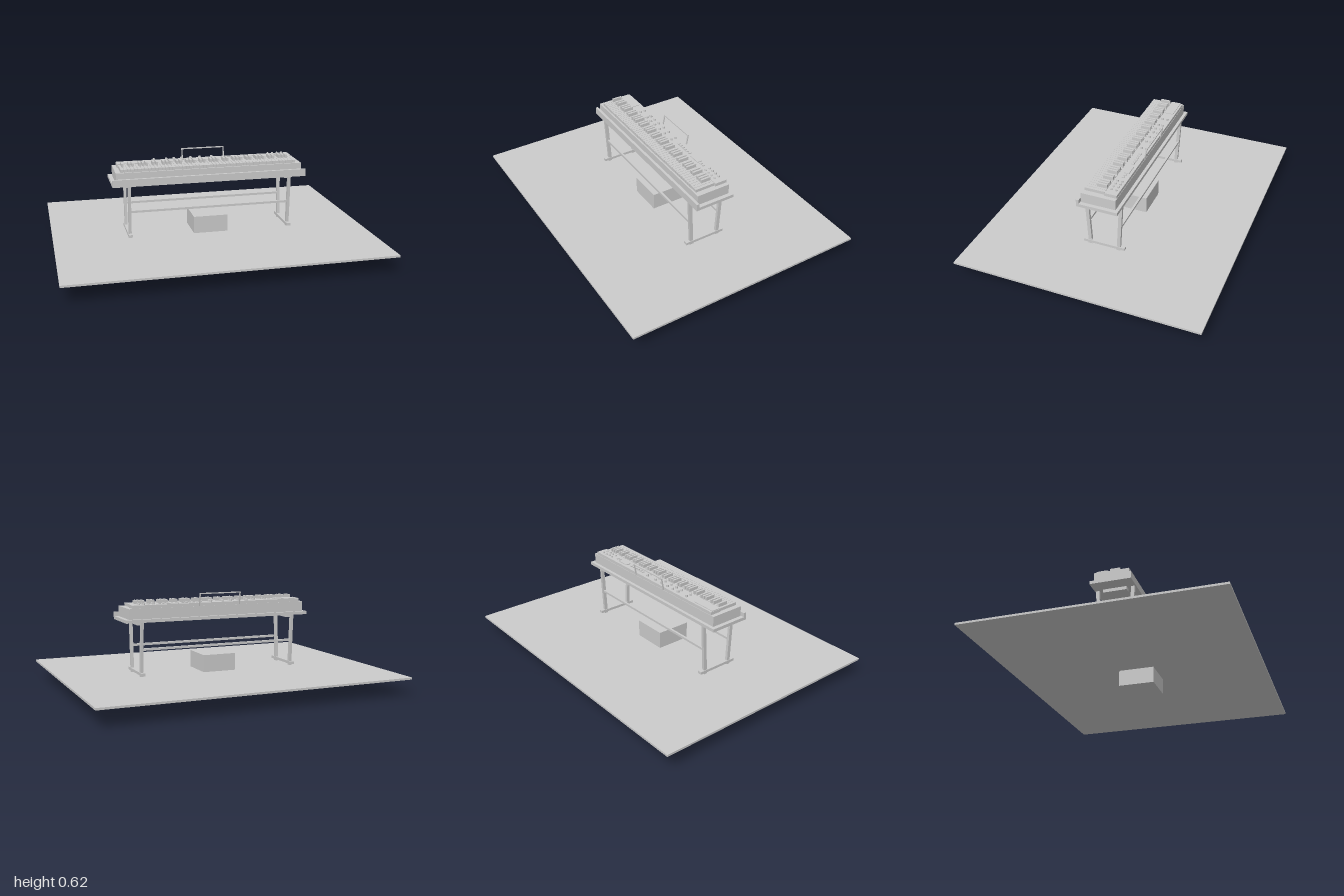
import * as THREE from 'three';

const material = new THREE.MeshStandardMaterial({ color: 0xcccccc });

function add(parent, name, geometry, x, y, z) {
  const mesh = new THREE.Mesh(geometry, material);
  mesh.name = name;
  mesh.position.set(x, y, z);
  parent.add(mesh);
  return mesh;
}

// Box given by its limits on each axis
function block(parent, name, [x0, x1], [y0, y1], [z0, z1]) {
  return add(parent, name, new THREE.BoxGeometry(x1 - x0, y1 - y0, z1 - z0),
    (x0 + x1) / 2, (y0 + y1) / 2, (z0 + z1) / 2);
}

// Square bar running between two points
function bar(parent, name, from, to, width, depth = width) {
  const a = new THREE.Vector3(...from), b = new THREE.Vector3(...to);
  const mesh = add(parent, name, new THREE.BoxGeometry(width, a.distanceTo(b), depth), 0, 0, 0);
  mesh.position.copy(a).add(b).multiplyScalar(0.5);
  mesh.quaternion.setFromUnitVectors(new THREE.Vector3(0, 1, 0), b.sub(a).normalize());
  return mesh;
}

function group(parent, name) {
  const g = new THREE.Group();
  g.name = name;
  parent.add(g);
  return g;
}

function buildStand(root) {
  const stand = group(root, 'stand');
  for (const side of [-1, 1]) {
    const x = side * 0.52;
    block(stand, 'foot', [x - 0.013, x + 0.013], [0.125, 0.142], [-0.135, 0.135]);
    block(stand, 'topBracket', [x - 0.018, x + 0.018], [0.434, 0.456], [-0.075, 0.075]);
    for (const end of [-1, 1]) {
      bar(stand, 'leg', [x, 0.135, end * 0.094], [x, 0.458, end * 0.112], 0.018, 0.022);
      block(stand, 'footPad', [x - 0.009, x + 0.009], [0.114, 0.126],
        [end * 0.094 - 0.012, end * 0.094 + 0.012]);
    }
  }
  for (const end of [-1, 1]) {
    bar(stand, 'crossRail', [-0.52, 0.286, end * 0.103], [0.52, 0.286, end * 0.103], 0.014);
  }
  block(stand, 'shelf', [-0.625, 0.625], [0.455, 0.475], [-0.13, 0.125]);
  block(stand, 'shelfFrontLip', [-0.625, 0.625], [0.455, 0.502], [0.114, 0.131]);
}

function buildKeys(piano) {
  const keys = group(piano, 'keys');
  const count = 52, left = -0.57, pitch = 1.135 / count;
  for (let i = 0; i < count; i++) {
    const x = left + i * pitch;
    block(keys, 'whiteKey', [x + 0.001, x + pitch - 0.001], [0.535, 0.559], [-0.028, 0.1]);
    // Notes run A to G; no black key follows B or E
    if (i < count - 1 && i % 7 !== 1 && i % 7 !== 4) {
      const c = x + pitch;
      block(keys, 'blackKey', [c - 0.0065, c + 0.0065], [0.555, 0.581], [-0.027, 0.038]);
    }
  }
}

function buildControls(piano) {
  const controls = group(piano, 'controls');
  block(controls, 'controlPanel', [-0.575, 0.575], [0.535, 0.56], [-0.108, -0.03]);
  block(controls, 'leftPlate', [-0.572, -0.415], [0.555, 0.564], [-0.095, -0.036]);
  const knob = new THREE.CylinderGeometry(0.008, 0.009, 0.015, 12);
  const smallKnob = new THREE.CylinderGeometry(0.006, 0.007, 0.012, 12);
  for (const z of [-0.085, -0.055]) {
    for (const x of [-0.33, -0.25, -0.2, -0.15, -0.09, -0.03, 0.05]) {
      add(controls, 'knob', knob, x, 0.566, z);
    }
    for (let i = 0; i < 4; i++) add(controls, 'smallKnob', smallKnob, 0.435 + i * 0.031, 0.565, z);
  }
  for (let i = 0; i < 6; i++) {
    const x = 0.115 + i * 0.024;
    block(controls, 'button', [x - 0.007, x + 0.007], [0.558, 0.566], [-0.08, -0.063]);
  }
  block(controls, 'display', [0.268, 0.345], [0.555, 0.565], [-0.09, -0.057]);
  for (const x of [0.365, 0.388]) {
    block(controls, 'button', [x - 0.006, x + 0.006], [0.558, 0.566], [-0.08, -0.063]);
  }
}

function buildMusicRest(piano) {
  // Thin wire frame leaning backwards
  const rest = group(piano, 'musicRest');
  for (const x of [-0.138, 0.138]) bar(rest, 'restPost', [x, 0.54, -0.107], [x, 0.622, -0.123], 0.007);
  bar(rest, 'restTopRail', [-0.1415, 0.619, -0.122], [0.1415, 0.619, -0.122], 0.007);
}

export function createModel() {
  const root = new THREE.Group();
  root.name = 'keyboardOnStand';
  block(root, 'floor', [-1, 1], [0.102, 0.115], [-0.78, 0.78]);
  block(root, 'floorBox', [-0.11, 0.11], [0, 0.225], [-0.1125, 0.1125]);
  buildStand(root);
  const piano = group(root, 'piano');
  block(piano, 'body', [-0.6, 0.6], [0.475, 0.54], [-0.11, 0.11]);
  buildKeys(piano);
  buildControls(piano);
  buildMusicRest(piano);
  return root;
}
